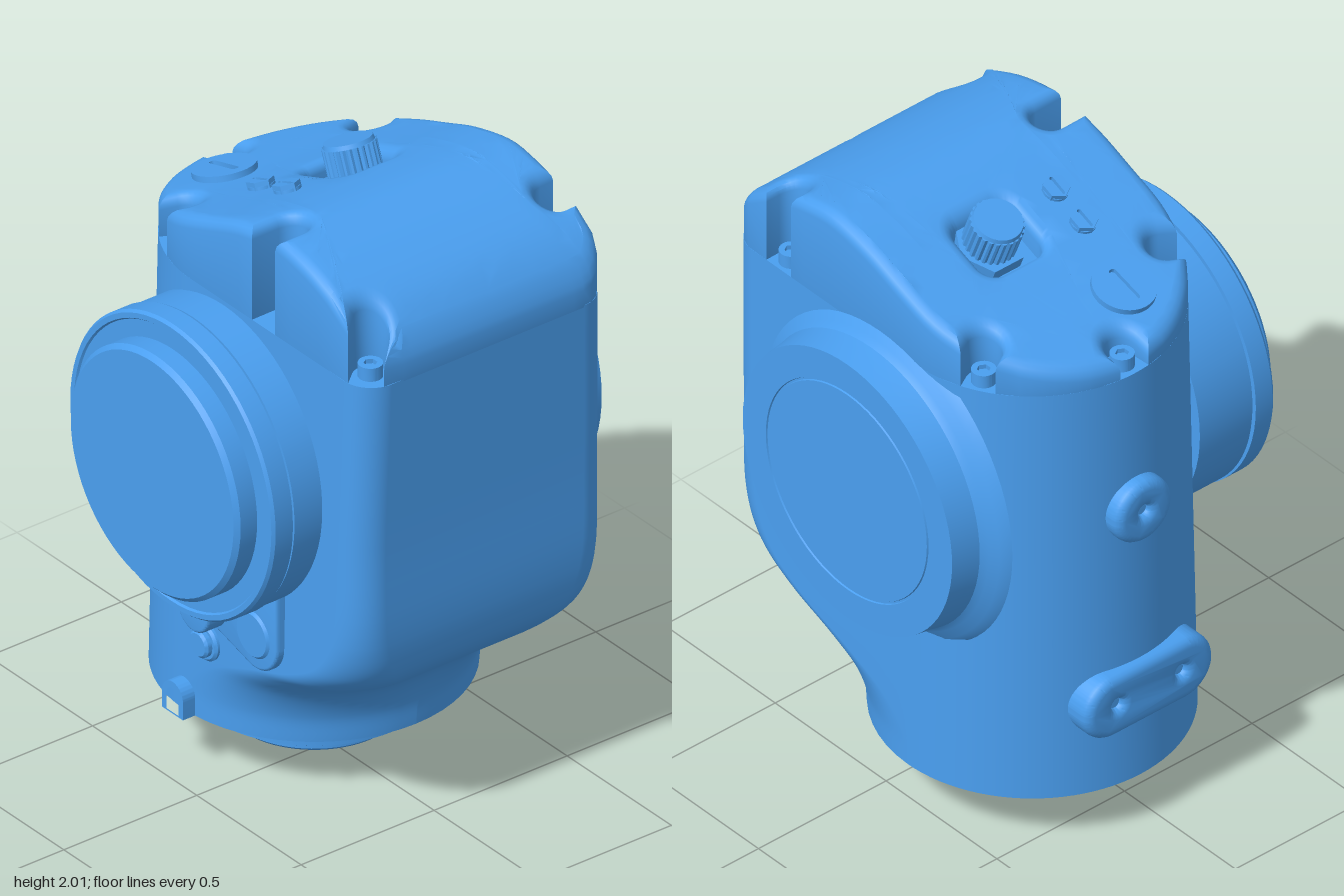
import * as THREE from 'three';
import { toCreasedNormals } from 'three/addons/utils/BufferGeometryUtils.js';

const CX = -0.165, CZ = -0.07, PI = Math.PI;
const blue = new THREE.MeshStandardMaterial({ color: 0x4a9ff0 });
const V = (x, y) => new THREE.Vector2(x, y);

function mesh(name, geo, x = 0, y = 0, z = 0) {
  const m = new THREE.Mesh(geo, blue);
  m.name = name;
  m.position.set(x, y, z);
  return m;
}

// Turned part along +y from [radius, height] pairs
const turned = (pts, seg = 72) =>
  toCreasedNormals(new THREE.LatheGeometry(pts.map(p => V(p[0], p[1])), seg), 0.5);

const extrude = (shape, depth, bevel = 0) => toCreasedNormals(new THREE.ExtrudeGeometry(shape, {
  depth, curveSegments: 20, bevelEnabled: bevel > 0, bevelSize: bevel,
  bevelThickness: bevel, bevelOffset: -bevel, bevelSegments: 4 }), 0.5);

const ngon = (r, n) => Array.from({ length: n }, (_, i) =>
  V(r * Math.cos(i / n * 2 * PI), r * Math.sin(i / n * 2 * PI)));

// Upright slot outline: round at the bottom (dir -1) or top (dir 1)
function arch(r, len, dir) {
  const s = new THREE.Shape();
  s.moveTo(-r, -dir * len).lineTo(-r, 0);
  s.absarc(0, 0, r, PI, 0, dir > 0);
  s.lineTo(r, -dir * len);
  return s;
}

function roundedRect(w, h, r, x = 0, y = 0) {
  const s = new THREE.Shape();
  [[1, 1], [-1, 1], [-1, -1], [1, -1]].forEach(([a, b], i) =>
    s.absarc(x + a * (w - r), y + b * (h - r), r, i * PI / 2, (i + 1) * PI / 2));
  return s;
}

// Housing outline: half circle on one side, rounded corners on the other (y = -z)
function section(R, xr, rc) {
  const pts = [], arc = (x, y, r, a, n) => {
    for (let i = 0; i <= n; i++) {
      const t = a + (n > 20 ? PI : PI / 2) * i / n;
      pts.push(V(x + r * Math.cos(t), y + r * Math.sin(t)));
    }
  };
  arc(CX, -CZ, R, PI / 2, 48);
  arc(xr - rc, -CZ - R + rc, rc, -PI / 2, 14);
  arc(xr - rc, -CZ + R - rc, rc, 0, 14);
  return pts;
}

const radius = y => 0.493 - 0.0189 * y;

// Main housing lofted from a round foot to the D-shaped top
function housingGeometry() {
  const path = new THREE.CatmullRomCurve3([
    [0.325, 0.19, 0.49], [0.335, 0.28, 0.48], [0.375, 0.38, 0.43], [0.45, 0.46, 0.34],
    [0.56, 0.54, 0.24], [0.62, 0.62, 0.17], [0.648, 0.75, 0.12], [0.655, 1.1, 0.1], [0.67, 1.67, 0.1]
  ].map(p => new THREE.Vector3(...p)));
  const pos = [], idx = [], rings = path.getPoints(48);
  let n = 0;
  rings.forEach((p, k) => {
    const R = radius(p.y), ring = section(R, p.x, Math.min(p.z, R, p.x - CX));
    n = ring.length;
    ring.forEach((q, j) => {
      pos.push(q.x, p.y, -q.y);
      if (k === rings.length - 1) return;
      const a = k * n + j, b = k * n + (j + 1) % n;
      idx.push(a, b, b + n, a, b + n, a + n);
    });
  });
  const g = new THREE.BufferGeometry();
  g.setAttribute('position', new THREE.Float32BufferAttribute(pos, 3));
  g.setIndex(idx);
  g.computeVertexNormals();
  return g;
}

// Height of the cover's crown along x
const crown = new THREE.SplineCurve([
  [-0.66, 1.725], [-0.45, 1.79], [-0.3, 1.835], [-0.1, 1.91], [0.05, 1.967], [0.2, 2.0],
  [0.3, 1.993], [0.42, 1.962], [0.54, 1.905], [0.62, 1.835], [0.69, 1.73]
].map(p => V(...p))).getPoints(300);
function height(x) {
  let i = 1;
  while (i < crown.length - 1 && crown[i].x < x) i++;
  const a = crown[i - 1], b = crown[i];
  return a.y + (b.y - a.y) * (x - a.x) / (b.x - a.x);
}

// Cover screws: x, z and the direction in which each recess opens
const screws = [
  [-0.36, -0.43, -0.48, -0.88], [-0.57, -0.07, -1, 0], [-0.34, 0.29, -0.44, 0.9],
  [0.18, 0.29, 0, 1], [0.59, 0.31, 0.6, 0.8], [0.45, -0.48, 0, -1]];

// Cover outline with a round-ended recess at each screw
function coverShape() {
  const w = 0.055, base = section(radius(1.67), 0.67, 0.1), out = [];
  const dense = new THREE.Shape([...base, base[0]]).getSpacedPoints(1000);
  let inside = null;
  dense.slice(0, -1).forEach((p, i) => {
    let now = null, near = false;
    for (const s of screws) {
      const d = V(s[2], -s[3]).normalize(), c = V(s[0], -s[1]), r = p.clone().sub(c);
      const side = Math.abs(r.cross(d));
      if (r.dot(d) <= 0 || r.length() > 0.25) continue;
      if (side < w) now = { c, d };
      if (side < w + 0.05) near = true;
    }
    if (now && !inside) {
      out.push(p);
      const a0 = Math.atan2(now.d.y, now.d.x) - PI / 2;
      for (let k = 0; k <= 14; k++) {
        const a = a0 - PI * k / 14;
        out.push(V(now.c.x + w * Math.cos(a), now.c.y + w * Math.sin(a)));
      }
    } else if ((inside && !now) || (!near && i % 9 === 0)) out.push(p);
    inside = now;
  });
  const shape = new THREE.Shape(out);
  shape.holes.push(roundedRect(0.1, 0.115, 0.05, -0.09, 0.145)); // knob pocket
  return shape;
}

// Extruded cover with its top refined and bent to the crown
function coverGeometry() {
  const b = 0.04, g = new THREE.ExtrudeGeometry(coverShape(), {
    depth: 1, bevelSize: b, bevelThickness: b, bevelOffset: -b, bevelSegments: 4, curveSegments: 8 });
  const p = g.attributes.position, pos = [];
  const put = v => pos.push(v.x, v.z >= 0.999 ? height(v.x) - (1 + b - v.z) : 1.665 + v.z, -v.y);
  const split = (t, deep) => {
    const len = t.map((v, i) => v.distanceTo(t[(i + 1) % 3]));
    const i = len.indexOf(Math.max(...len));
    if (deep > 14 || len[i] < 0.07) return t.forEach(put);
    const u = t[i], v = t[(i + 1) % 3], o = t[(i + 2) % 3], m = u.clone().add(v).multiplyScalar(0.5);
    split([u, m, o], deep + 1);
    split([m, v, o], deep + 1);
  };
  for (let i = 0; i < p.count; i += 3) {
    const t = [0, 1, 2].map(k => new THREE.Vector3().fromBufferAttribute(p, i + k));
    if (t.every(v => v.z > 1 + b - 1e-4)) split(t, 0); else t.forEach(put);
  }
  const out = new THREE.BufferGeometry();
  out.setAttribute('position', new THREE.Float32BufferAttribute(pos, 3));
  return toCreasedNormals(out, 0.6);
}

// Upright screw head with a recess of the given outline
function screwHead(name, outline, recess, h) {
  const s = new THREE.Shape(outline), g = new THREE.Group();
  s.holes.push(new THREE.Path(recess));
  const r = outline[0].length();
  g.add(mesh(name + 'Rim', extrude(s, h).rotateX(-PI / 2)),
    mesh(name + 'Core', new THREE.CylinderGeometry(r * 0.95, r * 0.95, 0.04, 24), 0, h - 0.035, 0));
  g.name = name;
  return g;
}

export function createModel() {
  const model = new THREE.Group();
  model.name = 'gearedActuatorHousing';
  const add = (...m) => model.add(...m);

  // Housing and cover
  add(mesh('housing', housingGeometry()),
    mesh('housingTop', new THREE.ShapeGeometry(new THREE.Shape(section(radius(1.67), 0.67, 0.1))).rotateX(-PI / 2), 0, 1.67, 0),
    mesh('housingFoot', new THREE.CircleGeometry(radius(0.19), 72).rotateX(PI / 2), CX, 0.19, CZ),
    mesh('cover', coverGeometry()));
  for (const [x, z] of screws) {
    const s = screwHead('coverScrew', ngon(0.038, 24), ngon(0.021, 6), 0.045);
    s.position.set(x, 1.67, z);
    add(s);
  }

  // Parts seated on the sloping crown
  const seat = (obj, x, z) => {
    obj.position.set(x, height(x), z);
    obj.rotation.z = Math.atan((height(x + 0.02) - height(x - 0.02)) / 0.04);
    add(obj);
  };
  const slot = (w, h) => roundedRect(w, h, h * 0.9).getPoints(6);
  seat(screwHead('fillerPlug', ngon(0.1, 48), slot(0.065, 0.012), 0.02), -0.42, 0.065);
  for (const x of [-0.18, -0.055]) seat(screwHead('adjusterScrew', ngon(0.043, 6), slot(0.034, 0.007), 0.025), x, 0.115);
  const knob = new THREE.Group();
  knob.name = 'knob';
  const ribs = ngon(1, 72).map((p, i) => p.multiplyScalar(i % 3 ? 0.085 : 0.078));
  knob.add(mesh('pocketFloor', new THREE.BoxGeometry(0.3, 0.02, 0.32), 0, -0.1, 0),
    mesh('knobNut', toCreasedNormals(new THREE.CylinderGeometry(0.112, 0.112, 0.05, 6), 0.3), 0, -0.07, 0),
    mesh('knobGrip', extrude(new THREE.Shape(ribs), 0.105).rotateX(-PI / 2), 0, -0.05, 0),
    mesh('knobTop', new THREE.CylinderGeometry(0.076, 0.08, 0.015, 36), 0, 0.061, 0));
  seat(knob, -0.08, -0.15);

  // Front flange with a groove and a stepped cap
  add(mesh('frontFlange', turned([[0, 0.3], [0.485, 0.3], [0.485, 0.505], [0.475, 0.505], [0.475, 0.515],
    [0.49, 0.515], [0.49, 0.58], [0.482, 0.59], [0.465, 0.59], [0.46, 0.583], [0.405, 0.583],
    [0.405, 0.645], [0.39, 0.66], [0, 0.66]]).rotateX(PI / 2), -0.01, 1.17, 0));
  // Back flange with a flared root and a fine ring on its face
  add(mesh('backFlange', turned([[0, 0.35], [0.56, 0.5], [0.535, 0.53], [0.505, 0.545], [0.487, 0.565], [0.48, 0.6], [0.472, 0.66],
    [0.368, 0.66], [0.366, 0.655], [0.36, 0.655], [0.358, 0.66], [0, 0.66]]).rotateX(-PI / 2), -0.01, 1.17, 0));

  // Output spigot under the foot
  add(mesh('outputSpigot', turned([[0, 0], [0.105, 0], [0.11, 0.005], [0.11, 0.025], [0.265, 0.025],
    [0.275, 0.035], [0.275, 0.1], [0.365, 0.1], [0.373, 0.105], [0.373, 0.12], [0.362, 0.123], [0.362, 0.13],
    [0.373, 0.133], [0.373, 0.145], [0.365, 0.15], [0.373, 0.155], [0.373, 0.2], [0, 0.2]]), CX, 0, CZ));
  for (const p of ngon(0.16, 4)) add(mesh('spigotPin', new THREE.CylinderGeometry(0.014, 0.014, 0.02, 12), CX + p.x, 0.03, CZ + p.y));

  // Round and oblong bosses on the curved side, each with drilled holes
  const sideBoss = (name, w, holes, y, z) => {
    const s = roundedRect(w, 0.11, 0.1095);
    for (const x of holes) s.holes.push(new THREE.Path().absarc(x, 0, 0.018, 0, 2 * PI));
    const g = extrude(s, 0.2, 0.03).rotateY(-PI / 2);
    add(mesh(name, g, -0.45, y, z));
    for (const x of holes) add(mesh(name + 'HoleEnd', new THREE.CircleGeometry(0.05, 16).rotateY(-PI / 2), -0.655, y, z + x));
  };
  sideBoss('roundBoss', 0.11, [0], 1.18, -0.07);
  sideBoss('oblongBoss', 0.25, [-0.125, 0.125], 0.51, -0.05);

  // Bracket, lobe and button below the front flange
  const bracket = new THREE.Shape();
  bracket.moveTo(-0.06, 0.8).lineTo(-0.03, 0.575).lineTo(0.165, 0.52);
  bracket.absarc(0.2, 0.62, 0.106, -1.9, 0).lineTo(0.306, 0.82);
  add(mesh('bracket', extrude(bracket, 0.14, 0.01), 0, 0, 0.29),
    mesh('bracketLobe', extrude(arch(0.075, 0.15, -1), 0.2, 0.01), -0.01, 0.642, 0.3));
  const button = (name, r, x, y, z) => add(mesh(name,
    turned([[0, -0.12], [r, -0.12], [r, -0.008], [r - 0.008, 0], [0, 0]], 36).rotateX(PI / 2), x, y, z));
  button('bracketPlug', 0.078, 0.195, 0.63, 0.448);
  button('buttonCollar', 0.062, -0.06, 0.475, 0.43);
  button('button', 0.045, -0.06, 0.475, 0.452);

  // Arched locating lug at the foot
  const lug = arch(0.05, 0.06, 1);
  lug.holes.push(new THREE.Path(arch(0.028, 0.055, 1).getPoints(10)));
  add(mesh('locatingLug', extrude(lug, 0.1), CX, 0.25, 0.362));

  return model;
}
